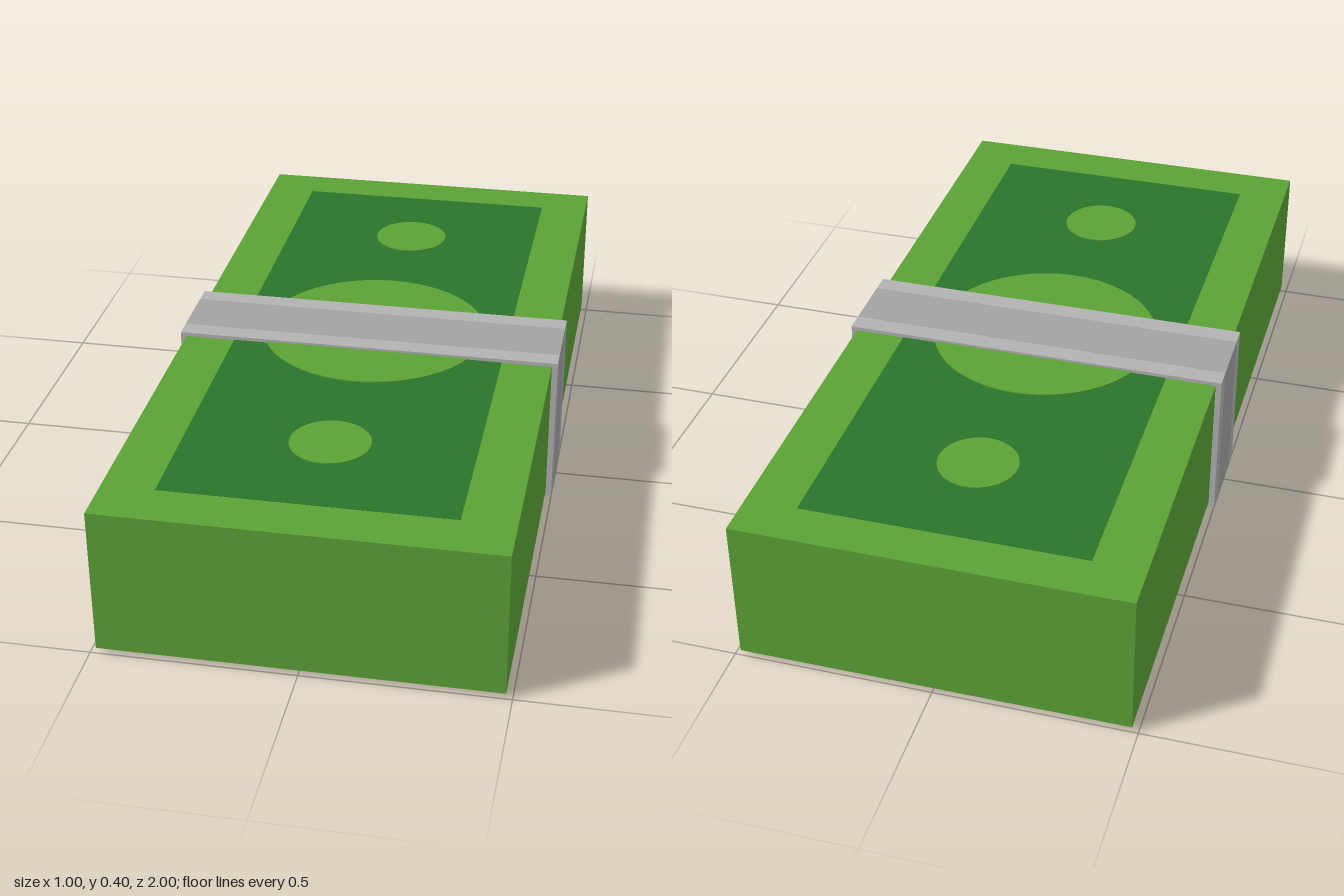
import * as THREE from 'three';

const BOTTOM = 0.015, TOP = 0.39, MID_Z = -0.005;

export function createModel() {
  const group = new THREE.Group();
  const paper = new THREE.MeshStandardMaterial({ color: 0x5ba236 });
  const ink = new THREE.MeshStandardMaterial({ color: 0x2a752a });
  const bandGrey = new THREE.MeshStandardMaterial({ color: 0xb2b2b2 });
  const stripeGrey = new THREE.MeshStandardMaterial({ color: 0xa2a2a2 });

  const add = (name, geometry, material, x, y, z) => {
    const mesh = new THREE.Mesh(geometry, material);
    mesh.name = name;
    mesh.position.set(x, y, z);
    group.add(mesh);
  };

  // Stack of notes
  add('noteStack', new THREE.BoxGeometry(0.97, TOP - BOTTOM, 2), paper, 0, (TOP + BOTTOM) / 2, 0);

  // Printed panels on the top and bottom notes
  const panel = new THREE.BoxGeometry(0.71, 0.002, 1.76);
  add('topPanel', panel, ink, 0, TOP, MID_Z);
  add('bottomPanel', panel, ink, 0, BOTTOM, MID_Z);

  // Raised round marks on the top note
  const disc = (name, radius, z) =>
    add(name, new THREE.CylinderGeometry(radius, radius, 0.006, 48), paper, 0, TOP + 0.001, z);
  disc('centreMark', 0.295, MID_Z);
  disc('frontMark', 0.1, MID_Z + 0.6);
  disc('backMark', 0.1, MID_Z - 0.6);

  // Paper band: a rectangular loop with a darker stripe between two borders
  const rect = (Type, halfWidth, y0, y1) => new Type([
    new THREE.Vector2(-halfWidth, y0), new THREE.Vector2(halfWidth, y0),
    new THREE.Vector2(halfWidth, y1), new THREE.Vector2(-halfWidth, y1),
  ]);
  const loop = (name, depth, material, z) => {
    const shape = rect(THREE.Shape, 0.5, 0, 0.4);
    shape.holes.push(rect(THREE.Path, 0.485, BOTTOM, TOP));
    add(name, new THREE.ExtrudeGeometry(shape, { depth, bevelEnabled: false }), material, 0, 0, z);
  };
  loop('bandBackBorder', 0.05, bandGrey, MID_Z - 0.125);
  loop('bandStripe', 0.15, stripeGrey, MID_Z - 0.075);
  loop('bandFrontBorder', 0.05, bandGrey, MID_Z + 0.075);

  return group;
}
